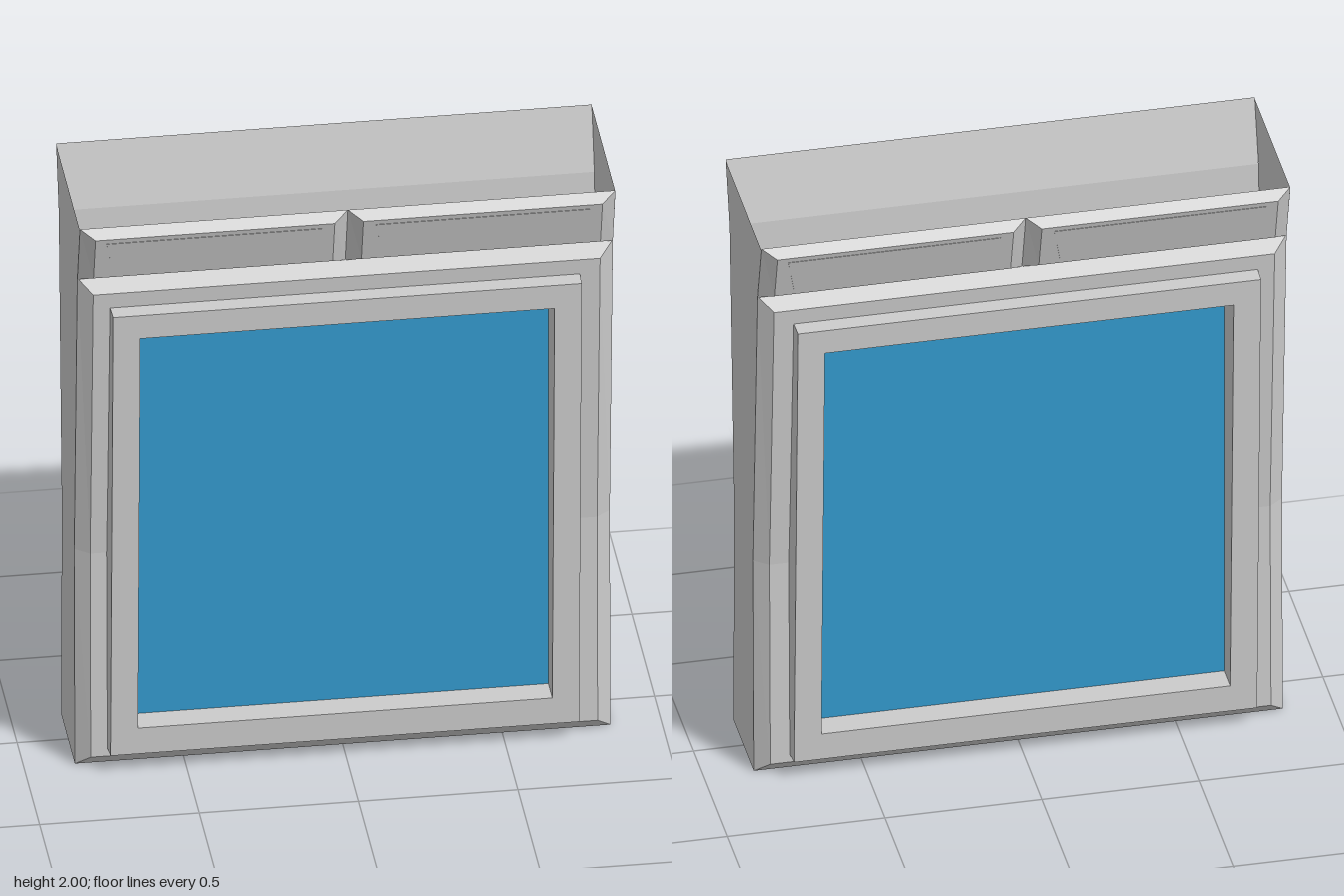
import * as THREE from 'three';

const grey = new THREE.MeshStandardMaterial({ color: 0xcccccc, flatShading: true });
const greyThin = new THREE.MeshStandardMaterial({ color: 0xcccccc, flatShading: true, side: THREE.DoubleSide });
const blue = new THREE.MeshStandardMaterial({ color: 0x3399cc });

// Joins loops of points (counter-clockwise from the front, back to front) with quads.
// cap: true closes both four-sided ends, false joins the last loop to the first.
function loft(loops, cap) {
  const pos = [];
  const quad = (a, b, c, d) => pos.push(...a, ...b, ...c, ...a, ...c, ...d);
  const n = loops[0].length;
  const strips = cap ? loops.length - 1 : loops.length;
  for (let k = 0; k < strips; k++) {
    const a = loops[k], b = loops[(k + 1) % loops.length];
    for (let i = 0; i < n; i++) {
      const j = (i + 1) % n;
      quad(a[i], a[j], b[j], b[i]);
    }
  }
  if (cap) {
    quad(...loops[loops.length - 1]);
    quad(...[...loops[0]].reverse());
  }
  const geo = new THREE.BufferGeometry();
  geo.setAttribute('position', new THREE.Float32BufferAttribute(pos, 3));
  geo.computeVertexNormals();
  return geo;
}

// Straight line z(y) through two points
const line = (y0, z0, y1, z1) => (y) => z0 + ((z1 - z0) * (y - y0)) / (y1 - y0);

// Rectangle whose depth follows z(y); an optional bend adds a row of points
function rect(x0, x1, y0, y1, z, bend) {
  const pts = [[x0, y0], [x1, y0]];
  if (bend) pts.push([x1, bend]);
  pts.push([x1, y1], [x0, y1]);
  if (bend) pts.push([x0, bend]);
  return pts.map(([x, y]) => [x, y, z(y)]);
}

function add(parent, name, geometry, material) {
  const mesh = new THREE.Mesh(geometry, material);
  mesh.name = name;
  parent.add(mesh);
  return mesh;
}

const BEND = 0.77;
const W = 0.84;
const bent = (lower, upper) => (y) => (y < BEND ? lower(y) : upper(y));
const panelBack = bent(line(0, 0.15, BEND, 0.138), line(BEND, 0.138, 1.79, 0.205));
const panelFront = bent(line(0.04, 0.185, BEND, 0.173), line(BEND, 0.173, 1.745, 0.24));
const frameFront = line(0.07, 0.235, 1.69, 0.292);
const headBack = line(1.785, 0.205, 2, 0.262);
const headFront = line(1.81, 0.247, 1.972, 0.292);

function createFace(name, sign) {
  const face = new THREE.Group();
  face.name = name;

  // Bent, chamfered panel with a large opening
  add(face, 'mainPanel', loft([
    rect(-W, W, 0, 1.79, panelBack, BEND),
    rect(-0.795, 0.795, 0.04, 1.745, panelFront, BEND),
    rect(-0.725, 0.725, 0.08, 1.68, panelFront, BEND),
    rect(-0.725, 0.725, 0.08, 1.68, panelBack, BEND),
  ], false), grey);

  // Protruding window frame, deeper at the top
  const back = () => 0.148;
  const frame = add(face, 'windowFrame', loft([
    rect(-0.74, 0.74, 0.065, 1.695, back),
    rect(-0.735, 0.735, 0.07, 1.69, frameFront),
    rect(-0.65, 0.65, 0.165, 1.605, frameFront),
    rect(-0.65, 0.65, 0.165, 1.605, back),
  ], false), grey);
  frame.position.x = -0.005 * sign;

  // Two bevelled header blocks with inset trapezoid plates
  for (const s of [-1, 1]) {
    const span = (a, b) => (s > 0 ? [a, b] : [-b, -a]);
    const side = s > 0 ? 'Left' : 'Right';
    add(face, 'headerBlock' + side, loft([
      rect(...span(0, W), 1.785, 2, headBack),
      rect(...span(0.045, 0.795), 1.81, 1.972, headFront),
    ], true), grey);
    const plate = (lift) => {
      const [b0, b1] = span(0.11, 0.735), [t0, t1] = span(0.085, 0.76);
      return [[b0, 1.83], [b1, 1.83], [t1, 1.955], [t0, 1.955]]
        .map(([x, y]) => [x, y, headFront(y) + lift]);
    };
    add(face, 'headerPlate' + side, loft([plate(-0.004), plate(0.002)], true), grey);
  }
  if (sign < 0) face.rotation.y = Math.PI;
  return face;
}

export function createModel() {
  const model = new THREE.Group();
  model.name = 'displayHousing';

  model.add(createFace('frontFace', 1), createFace('backFace', -1));

  // Thin side walls with a pinched waist
  const half = [[0.15, 0], [0.138, BEND], [0.205, 1.788], [0.262, 1.995]];
  const outline = [...half, ...half.map(([z, y]) => [-z, y]).reverse()];
  const wall = new THREE.ShapeGeometry(new THREE.Shape(outline.map(([z, y]) => new THREE.Vector2(z, y))));
  for (const s of [-1, 1]) {
    const mesh = add(model, s > 0 ? 'leftWall' : 'rightWall', wall, greyThin);
    mesh.rotation.y = (s * Math.PI) / 2;
    mesh.position.x = s * W;
  }

  // Blue screen block filling the space between both frames
  const screen = add(model, 'screen', new THREE.BoxGeometry(1.3, 1.44, 0.3), blue);
  screen.position.set(-0.005, 0.885, 0);

  return model;
}
